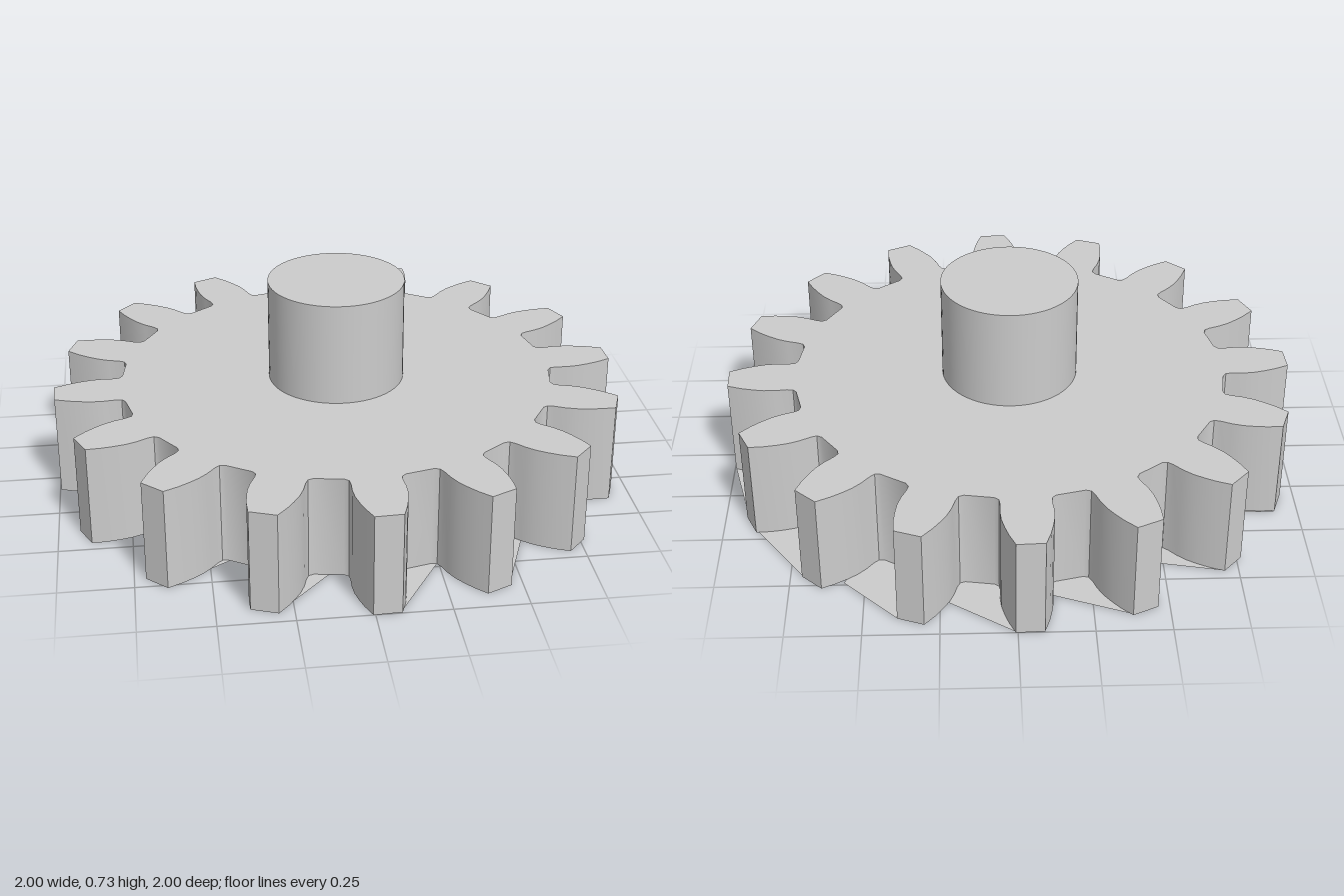
import * as THREE from 'three';
import { toCreasedNormals } from 'three/addons/utils/BufferGeometryUtils.js';

const TEETH = 16;
const THICKNESS = 0.36;
const HUB_RADIUS = 0.239;
const HUB_TOP = 0.725;
const rad = THREE.MathUtils.degToRad;

// Angle of a tooth axis in the x-z plane, counted from the back
const toothAngle = (i) => rad(-92.3 + (360 / TEETH) * i);

// One flank of a tooth: [distance along axis, half width], root to tip
const FLANK = [
  [0.756, 0.1], [0.768, 0.086], [0.79, 0.084], [0.83, 0.087], [0.87, 0.085],
  [0.91, 0.077], [0.95, 0.066], [0.999, 0.047],
];

function gearShape() {
  const tooth = [
    ...FLANK.map(([u, v]) => [u, -v]),
    ...[...FLANK].reverse(),
  ];
  const points = [];
  for (let i = 0; i < TEETH; i++) {
    const c = Math.cos(toothAngle(i)), s = Math.sin(toothAngle(i));
    for (const [u, v] of tooth) points.push(new THREE.Vector2(u * c - v * s, u * s + v * c));
  }
  return new THREE.Shape(points);
}

// Flat webs under the gaps: [tooth before gap, x, z, x, z of the outer edge]
const WEBS = [
  [0, 0.0, -1.0, 0.22, -0.85],
  [1, 0.39, -0.92, 0.57, -0.74],
  [2, 0.71, -0.7, 0.88, -0.46],
  [3, 0.92, -0.38, 0.995, -0.09],
  [4, 0.94, 0.03, 0.947, 0.3],
  [5, 0.8, 0.39, 0.76, 0.64],
  [6, 0.55, 0.63, 0.455, 0.885],
  [7, 0.245, 0.73, 0.08, 0.998],
  [8, -0.115, 0.75, -0.3, 0.945],
  [9, -0.42, 0.62, -0.645, 0.76],
  [10, -0.655, 0.39, -0.84, 0.455],
  [12, -0.86, -0.06, -0.755, -0.08],
  [13, -0.92, -0.395, -0.65, -0.395],
  [14, -0.7, -0.71, -0.4, -0.65],
  [15, -0.375, -0.92, -0.115, -0.82],
];

function webShape([i, x1, z1, x2, z2]) {
  const root = (k) => new THREE.Vector2(
    0.7 * Math.cos(toothAngle(k)), 0.7 * Math.sin(toothAngle(k)));
  return new THREE.Shape([
    new THREE.Vector2(x1, z1), new THREE.Vector2(x2, z2), root(i + 1), root(i),
  ]);
}

export function createModel() {
  const group = new THREE.Group();
  group.name = 'gear';
  const material = new THREE.MeshStandardMaterial({ color: 0xcccccc });
  const thin = new THREE.MeshStandardMaterial({ color: 0xcccccc, side: THREE.DoubleSide });
  const add = (name, geometry, mat = material) => {
    const mesh = new THREE.Mesh(geometry, mat);
    mesh.name = name;
    group.add(mesh);
    return mesh;
  };

  // Toothed wheel, laid flat on the ground
  const wheel = new THREE.ExtrudeGeometry(gearShape(), { depth: THICKNESS, bevelEnabled: false });
  wheel.rotateX(Math.PI / 2).translate(0, THICKNESS, 0);
  add('toothedWheel', toCreasedNormals(wheel, rad(35)));

  // Webs flush with the underside
  add('undersideWebs', new THREE.ShapeGeometry(WEBS.map(webShape)).rotateX(Math.PI / 2), thin);

  // Central hub
  const hubHeight = HUB_TOP - THICKNESS;
  add('hub', new THREE.CylinderGeometry(HUB_RADIUS, HUB_RADIUS, hubHeight, 64))
    .position.y = THICKNESS + hubHeight / 2;

  return group;
}
